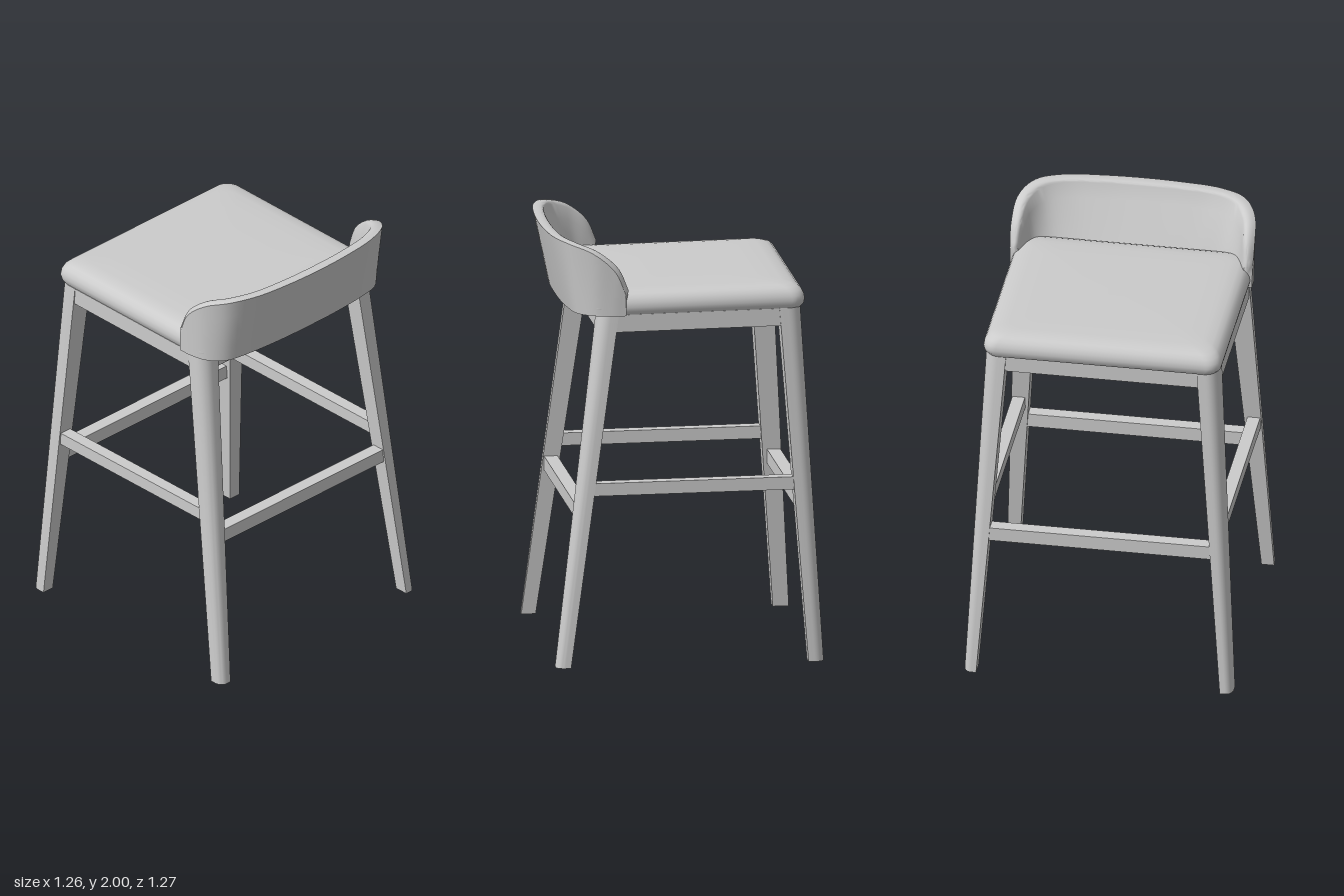
import * as THREE from 'three';
import { toCreasedNormals } from 'three/addons/utils/BufferGeometryUtils.js';

const material = new THREE.MeshStandardMaterial({ color: 0xcccccc });

// Skin over a list of closed rings (counter-clockwise seen from the last ring), with capped ends.
function loft(rings, crease = 0.6) {
  const n = rings[0].length;
  const pos = [];
  const tri = (...pts) => pts.forEach((p) => pos.push(p.x, p.y, p.z));
  for (let i = 0; i < rings.length - 1; i++) {
    for (let j = 0; j < n; j++) {
      const k = (j + 1) % n;
      const [a, b, c, d] = [rings[i][j], rings[i][k], rings[i + 1][k], rings[i + 1][j]];
      tri(a, b, c);
      tri(a, c, d);
    }
  }
  const cap = (ring, flip) => {
    const mid = ring.reduce((s, p) => s.add(p), new THREE.Vector3()).divideScalar(n);
    for (let j = 0; j < n; j++) {
      const k = (j + 1) % n;
      if (flip) tri(mid, ring[k], ring[j]);
      else tri(mid, ring[j], ring[k]);
    }
  };
  cap(rings[0], true);
  cap(rings[rings.length - 1], false);
  const g = new THREE.BufferGeometry();
  g.setAttribute('position', new THREE.Float32BufferAttribute(pos, 3));
  return toCreasedNormals(g, crease);
}

function add(group, name, geometry) {
  const mesh = new THREE.Mesh(geometry, material);
  mesh.name = name;
  group.add(mesh);
  return mesh;
}

// Horizontal leg section: square, with the outward corner rounded.
function legRing(xIn, xOut, zIn, zOut, y) {
  const w = xOut - xIn, d = zOut - zIn, f = 0.6;
  const ring = [new THREE.Vector3(xIn, y, zIn), new THREE.Vector3(xOut, y, zIn)];
  for (let i = 0; i <= 8; i++) {
    const a = (i / 8) * Math.PI / 2;
    ring.push(new THREE.Vector3(
      xOut - w * f * (1 - Math.cos(a)), y, zOut - d * f * (1 - Math.sin(a))));
  }
  ring.push(new THREE.Vector3(xIn, y, zOut));
  // Keep the winding outward on mirrored legs
  return w * d > 0 ? ring.reverse() : ring;
}

// Rail given by its limits, with an optional tilt about z
function rail(group, name, x0, x1, y0, y1, z0, z1, tilt = 0) {
  const m = add(group, name, new THREE.BoxGeometry(x1 - x0, y1 - y0, z1 - z0));
  m.position.set((x0 + x1) / 2, (y0 + y1) / 2, (z0 + z1) / 2);
  m.rotation.z = tilt;
}

// Rounded rectangle for one level of the seat cushion
function seatRing(inset, y) {
  const x0 = -0.56 + inset, x1 = 0.46 - inset, hz = 0.562 - inset, r = 0.065;
  const ring = [];
  const corners = [[x1 - r, hz - r], [x0 + r, hz - r], [x0 + r, -hz + r], [x1 - r, -hz + r]];
  corners.forEach(([cx, cz], c) => {
    for (let i = 0; i <= 8; i++) {
      const a = (c + i / 8) * Math.PI / 2;
      const x = cx + r * Math.cos(a);
      ring.push(new THREE.Vector3(x, y - 0.012 * (x + 0.56), cz + r * Math.sin(a)));
    }
  });
  return ring.reverse();
}

// Symmetric smooth curve from half of its points, running from +z to -z
function guide(half) {
  const pts = half.map((p) => new THREE.Vector3(...p));
  const mirrored = pts.slice(0, -1).reverse().map((p) => new THREE.Vector3(p.x, p.y, -p.z));
  return new THREE.CatmullRomCurve3([...pts, ...mirrored]);
}

function backrestGeometry() {
  const outerBottom = guide([[0.287, 1.658, 0.57], [0.36, 1.658, 0.568], [0.44, 1.658, 0.545],
    [0.505, 1.658, 0.48], [0.53, 1.658, 0.36], [0.545, 1.658, 0.18], [0.548, 1.658, 0]]);
  const outerTop = guide([[0.29, 1.76, 0.573], [0.34, 1.87, 0.575], [0.44, 1.955, 0.56],
    [0.54, 1.99, 0.495], [0.595, 1.998, 0.37], [0.618, 1.998, 0.19], [0.625, 1.998, 0]]);
  const innerTop = guide([[0.28, 1.77, 0.535], [0.325, 1.87, 0.525], [0.415, 1.945, 0.505],
    [0.5, 1.975, 0.45], [0.545, 1.985, 0.35], [0.565, 1.985, 0.18], [0.57, 1.985, 0]]);
  const innerBottom = guide([[0.28, 1.66, 0.51], [0.335, 1.66, 0.492], [0.38, 1.66, 0.455],
    [0.402, 1.66, 0.38], [0.408, 1.66, 0.27], [0.41, 1.66, 0.14], [0.41, 1.66, 0]]);
  const rings = [];
  const N = 64;
  for (let i = 0; i <= N; i++) {
    const [ob, ot, it, ib] = [outerBottom, outerTop, innerTop, innerBottom].map((c) => c.getPoint(i / N));
    const ring = [];
    for (let k = 0; k < 4; k++) ring.push(ob.clone().lerp(ot, k / 4));
    // Padded rim bulging up and towards the sitter
    const bulge = ot.clone().lerp(it, 0.65).add(new THREE.Vector3(-0.02, 0.02, 0));
    bulge.y = Math.min(bulge.y, 2.005);
    const rim = new THREE.QuadraticBezierCurve3(ot, bulge, it);
    ring.push(...rim.getPoints(6));
    for (let k = 1; k <= 5; k++) ring.push(it.clone().lerp(ib, k / 5));
    rings.push(ring.reverse());
  }
  return loft(rings, 0.7);
}

export function createModel() {
  const stool = new THREE.Group();
  stool.name = 'barStool';

  // Splayed legs
  for (const s of [1, -1]) {
    const side = s > 0 ? 'Left' : 'Right';
    add(stool, 'frontLeg' + side, loft([
      legRing(-0.56, -0.635, s * 0.575, s * 0.635, 0),
      legRing(-0.435, -0.54, s * 0.45, s * 0.552, 1.67)]));
    add(stool, 'backLeg' + side, loft([
      legRing(0.555, 0.623, s * 0.57, s * 0.63, 0),
      legRing(0.32, 0.415, s * 0.45, s * 0.552, 1.658)]));

    // Side apron and side stretcher
    const [a, b] = s > 0 ? [0.49, 0.55] : [-0.55, -0.49];
    rail(stool, 'sideApron' + side, -0.49, 0.37, 1.582, 1.664, a, b, -0.012);
    const [c, d] = s > 0 ? [0.525, 0.585] : [-0.585, -0.525];
    rail(stool, 'sideStretcher' + side, -0.54, 0.48, 0.81, 0.87, c, d, -0.006);
  }

  // Front and back aprons and stretchers
  rail(stool, 'frontApron', -0.535, -0.475, 1.588, 1.668, -0.5, 0.5);
  rail(stool, 'backApron', 0.35, 0.412, 1.575, 1.658, -0.5, 0.5);
  rail(stool, 'frontStretcher', -0.588, -0.525, 0.695, 0.762, -0.55, 0.55);
  rail(stool, 'backStretcher', 0.46, 0.523, 0.695, 0.762, -0.55, 0.55);

  // Cushioned seat
  const levels = [[0.015, 1.668], [0.004, 1.685], [0, 1.705], [0.003, 1.727], [0.013, 1.748],
    [0.03, 1.764], [0.055, 1.774], [0.1, 1.779], [0.2, 1.782], [0.35, 1.783]];
  add(stool, 'seat', loft(levels.map(([inset, y]) => seatRing(inset, y)), 0.8));

  // Low wraparound backrest
  add(stool, 'backrest', backrestGeometry());
  return stool;
}
